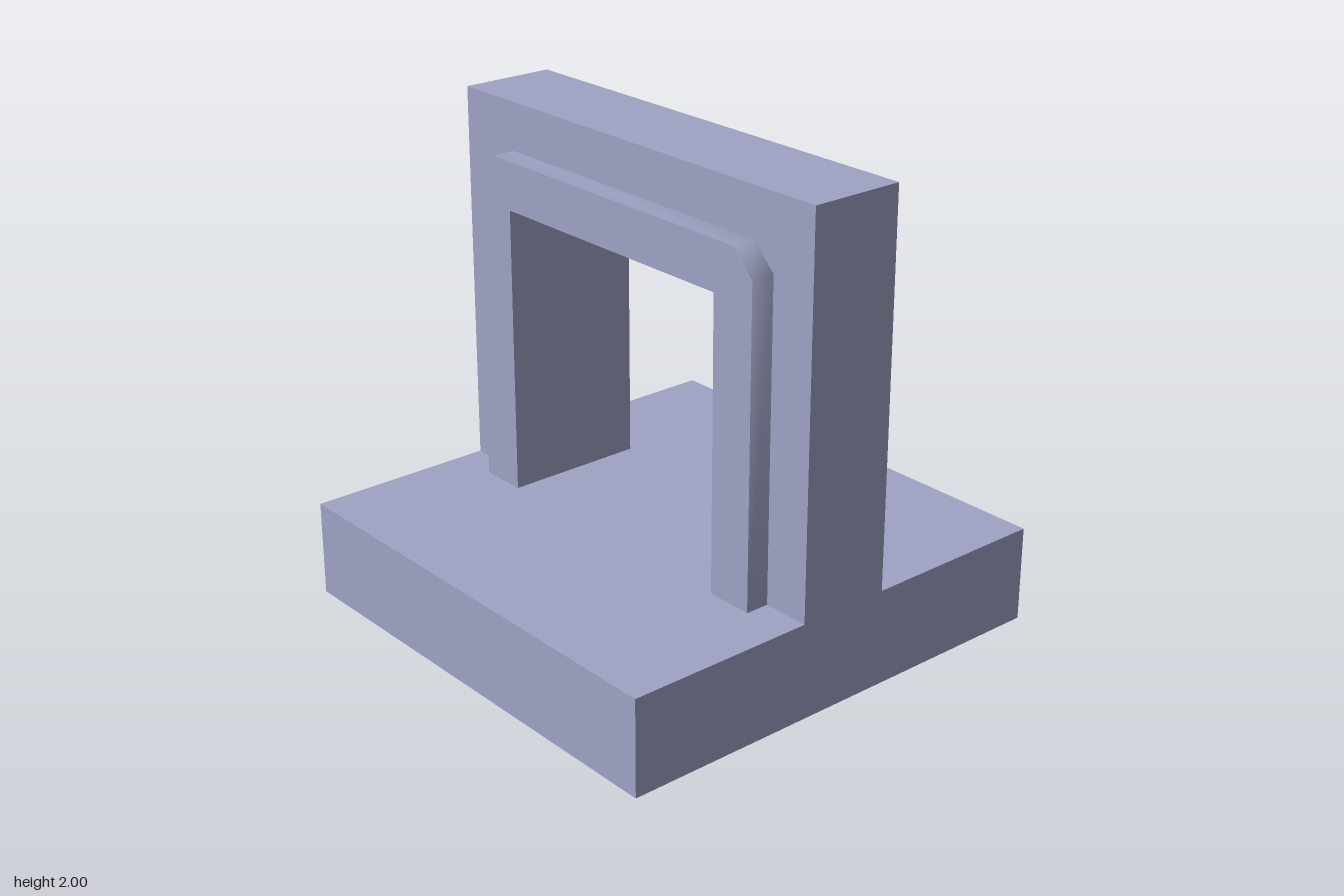
import * as THREE from 'three';
import { toCreasedNormals } from 'three/addons/utils/BufferGeometryUtils.js';

// Extrude a (z, y) outline along x, centred on centerX
function extrudeAlongX(points, width, centerX) {
  const shape = new THREE.Shape(points.map(([z, y]) => new THREE.Vector2(z, y)));
  const geometry = new THREE.ExtrudeGeometry(shape, { depth: width, bevelEnabled: false });
  geometry.translate(0, 0, -width / 2);
  geometry.rotateY(-Math.PI / 2);
  geometry.translate(centerX, 0, 0);
  return geometry;
}

export function createModel() {
  const group = new THREE.Group();
  const stone = new THREE.MeshStandardMaterial({ color: 0x9fa3c4 });
  stone.name = 'blueGreyStone';

  const add = (name, geometry) => {
    const mesh = new THREE.Mesh(geometry, stone);
    mesh.name = name;
    group.add(mesh);
  };

  // Square floor slab
  const floor = new THREE.BoxGeometry(2, 0.4, 2);
  floor.translate(0, 0.2, 0);
  add('floorSlab', floor);

  // Doorway opening shared by the wall and its frames
  const opening = [[0.6, 0.4], [0.6, 1.6], [-0.6, 1.6], [-0.6, 0.4]];

  // Wall standing along the middle of the slab
  add('wall', extrudeAlongX(
    [[-1, 0.4], [-1, 2], [1, 2], [1, 0.4], ...opening], 0.4, 0));

  // Raised door frame on each face, smooth over its chamfered corners
  const frame = [[-0.8, 0.4], [-0.8, 1.7], [-0.7, 1.8], [0.7, 1.8], [0.8, 1.7], [0.8, 0.4], ...opening];
  for (const [name, side] of [['leftDoorFrame', 1], ['rightDoorFrame', -1]]) {
    add(name, toCreasedNormals(extrudeAlongX(frame, 0.1, side * 0.25), Math.PI / 3));
  }

  return group;
}
